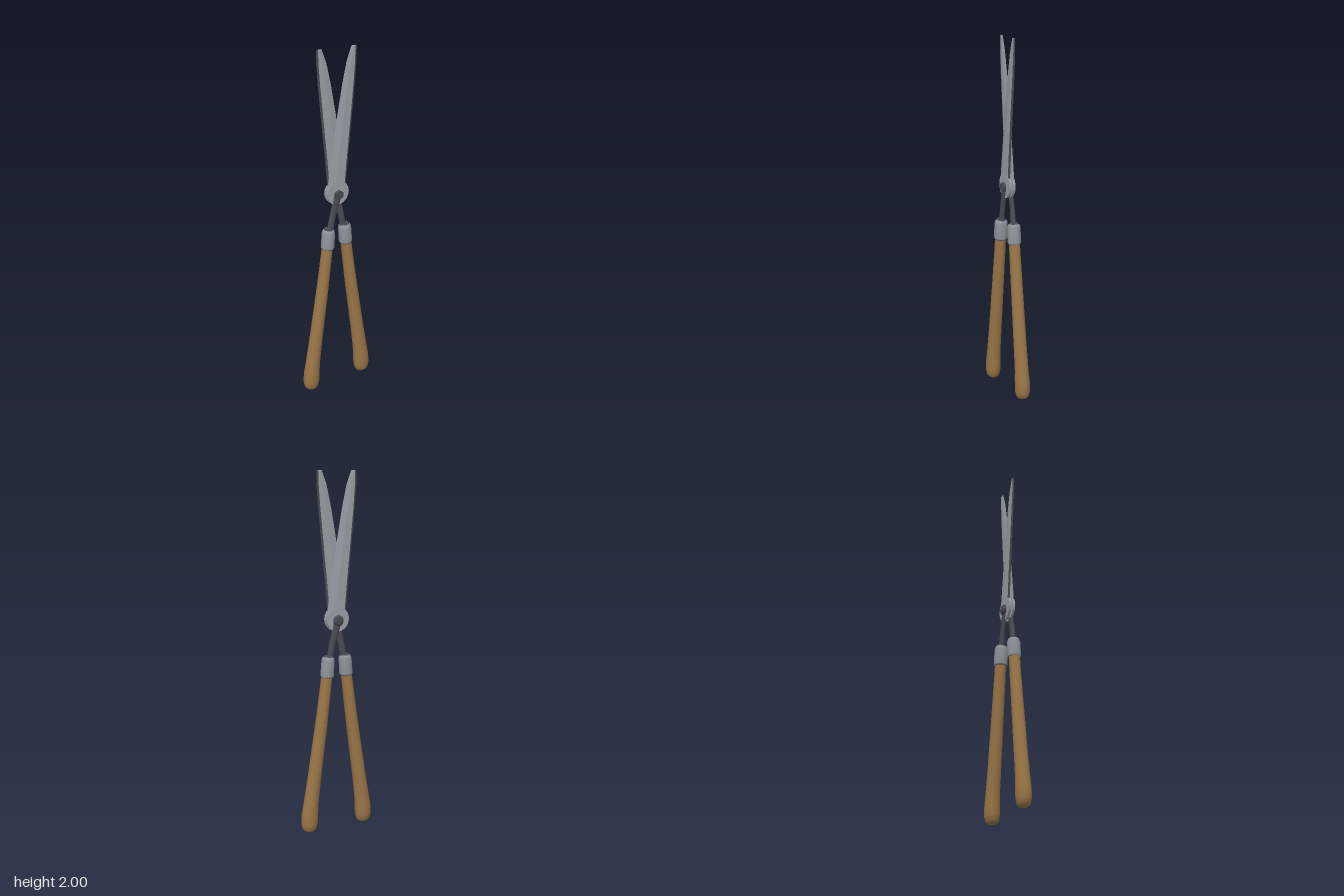
import * as THREE from 'three';

const mat = (name, color, side = THREE.FrontSide) => {
  const m = new THREE.MeshStandardMaterial({ color, side });
  m.name = name;
  return m;
};

// Skin between rings of [x, y, z] points, listed from bottom to top
function loft(rings, closed, flat) {
  const n = rings[0].length, index = [];
  for (let i = 0; i < rings.length - 1; i++) {
    for (let j = 0; j < (closed ? n : n - 1); j++) {
      const k = (j + 1) % n, a = i * n + j, b = i * n + k;
      index.push(a, a + n, b, b, a + n, b + n);
    }
  }
  let g = new THREE.BufferGeometry();
  g.setAttribute('position', new THREE.Float32BufferAttribute(rings.flat(2), 3));
  g.setIndex(index);
  if (flat) g = g.toNonIndexed();
  g.computeVertexNormals();
  return g;
}

// Elliptical bar from rows of [y, centre x, centre z, radius x, radius z]
function bar(rows, sides) {
  return loft(rows.map(([y, x, z, rx, rz]) => Array.from({ length: sides }, (_, j) => {
    const t = j / sides * Math.PI * 2;
    return [x + rx * Math.cos(t), y, z + rz * Math.sin(t)];
  })), true, false);
}

export function createModel() {
  const steel = mat('blade steel', 0x9aa1a7, THREE.DoubleSide);
  const dark = mat('dark iron', 0x484c54, THREE.DoubleSide);
  const collarGrey = mat('collar grey', 0x8f969d);
  const wood = mat('handle wood', 0x9b7647);
  const model = new THREE.Group();
  model.name = 'gardenShears';

  const add = (parent, name, geo, material) => {
    const m = new THREE.Mesh(geo, material);
    m.name = name;
    parent.add(m);
    return m;
  };

  function buildHalf(name) {
    const half = new THREE.Group();
    half.name = name;

    // Blade: y, cutting edge x, ridge x, spine x, half thickness
    const zc = 0.011;
    const rows = [
      [1.19, -0.062, -0.022, 0.045, 0.007],
      [1.25, -0.062, -0.018, 0.053, 0.007],
      [1.4, -0.04, 0.002, 0.067, 0.007],
      [1.63, -0.003, 0.035, 0.09, 0.0065],
      [1.8, 0.028, 0.062, 0.107, 0.006],
      [1.92, 0.055, 0.082, 0.116, 0.005],
      [1.997, 0.084, 0.099, 0.118, 0.004],
      [2.0, 0.086, 0.1, 0.117, 0.0001],
    ];
    const faces = [], spine = [];
    for (const [y, cut, ridge, back, h] of rows) {
      const ch = back - 0.01;
      const front = [ch, y, zc + h * 0.85], rear = [ch, y, zc - h * 0.85];
      faces.push([front, [ridge, y, zc + h], [cut, y, zc], [ridge, y, zc - h], rear]);
      spine.push([rear, [back, y, zc - h * 0.4], [back, y, zc + h * 0.4], front]);
    }
    add(half, 'blade', loft(faces, false, true), steel);
    add(half, 'bladeSpine', loft(spine, false, true), dark);

    // Round boss around the pivot
    const boss = add(half, 'pivotBoss', new THREE.CylinderGeometry(0.069, 0.069, 0.013, 20), steel);
    boss.rotation.x = Math.PI / 2;
    boss.position.set(0, 1.19, zc);

    // Tang from the pivot into the collar
    add(half, 'tang', bar([
      [0.96, -0.053, 0.012, 0.021, 0.017],
      [1.0, -0.046, 0.013, 0.019, 0.015],
      [1.06, -0.034, 0.014, 0.02, 0.013],
      [1.12, -0.017, 0.015, 0.023, 0.012],
      [1.17, -0.004, 0.016, 0.025, 0.01],
      [1.2, 0, 0.016, 0.017, 0.008],
      [1.207, 0, 0.015, 0, 0],
    ], 10), dark);

    // Metal collar with a dark cap
    const collar = new THREE.Group();
    collar.name = 'collar';
    collar.position.set(-0.063, 0.928, 0.011);
    collar.rotation.z = -0.07;
    half.add(collar);
    const ring = [[0.032, -0.058], [0.038, -0.05], [0.037, 0.035], [0.032, 0.051], [0.027, 0.055]];
    add(collar, 'collarBand', new THREE.LatheGeometry(ring.map(p => new THREE.Vector2(...p)), 14), collarGrey);
    add(collar, 'collarCap', new THREE.CylinderGeometry(0.024, 0.029, 0.012, 14), dark).position.y = 0.056;
    add(collar, 'collarBase', new THREE.CylinderGeometry(0.033, 0.033, 0.006, 14), dark).position.y = -0.057;

    // Wooden handle, swelling at the grip end
    add(half, 'handle', bar([
      [0, -0.179, 0.01, 0, 0],
      [0.003, -0.179, 0.01, 0.028, 0.025],
      [0.016, -0.18, 0.01, 0.04, 0.036],
      [0.045, -0.18, 0.01, 0.047, 0.042],
      [0.1, -0.177, 0.01, 0.047, 0.042],
      [0.16, -0.17, 0.01, 0.043, 0.039],
      [0.3, -0.149, 0.01, 0.039, 0.037],
      [0.6, -0.105, 0.011, 0.035, 0.034],
      [0.8, -0.078, 0.011, 0.032, 0.032],
      [0.9, -0.066, 0.011, 0.031, 0.031],
    ], 14), wood);
    return half;
  }

  // The second half is the first turned about the upright axis
  model.add(buildHalf('frontHalf'));
  const rearHalf = buildHalf('rearHalf');
  rearHalf.rotation.y = Math.PI;
  model.add(rearHalf);

  // Pivot bolt: hexagonal nut in front, domed head behind
  const bolt = new THREE.Group();
  bolt.name = 'pivotBolt';
  bolt.position.y = 1.182;
  bolt.rotation.x = Math.PI / 2;
  model.add(bolt);
  add(bolt, 'nut', new THREE.CylinderGeometry(0.027, 0.027, 0.016, 6).toNonIndexed(), dark).position.y = 0.026;
  const head = [[0, -0.037], [0.018, -0.036], [0.027, -0.032], [0.031, -0.025], [0.031, -0.017]];
  add(bolt, 'boltHead', new THREE.LatheGeometry(head.map(p => new THREE.Vector2(...p)), 14), dark);
  return model;
}
